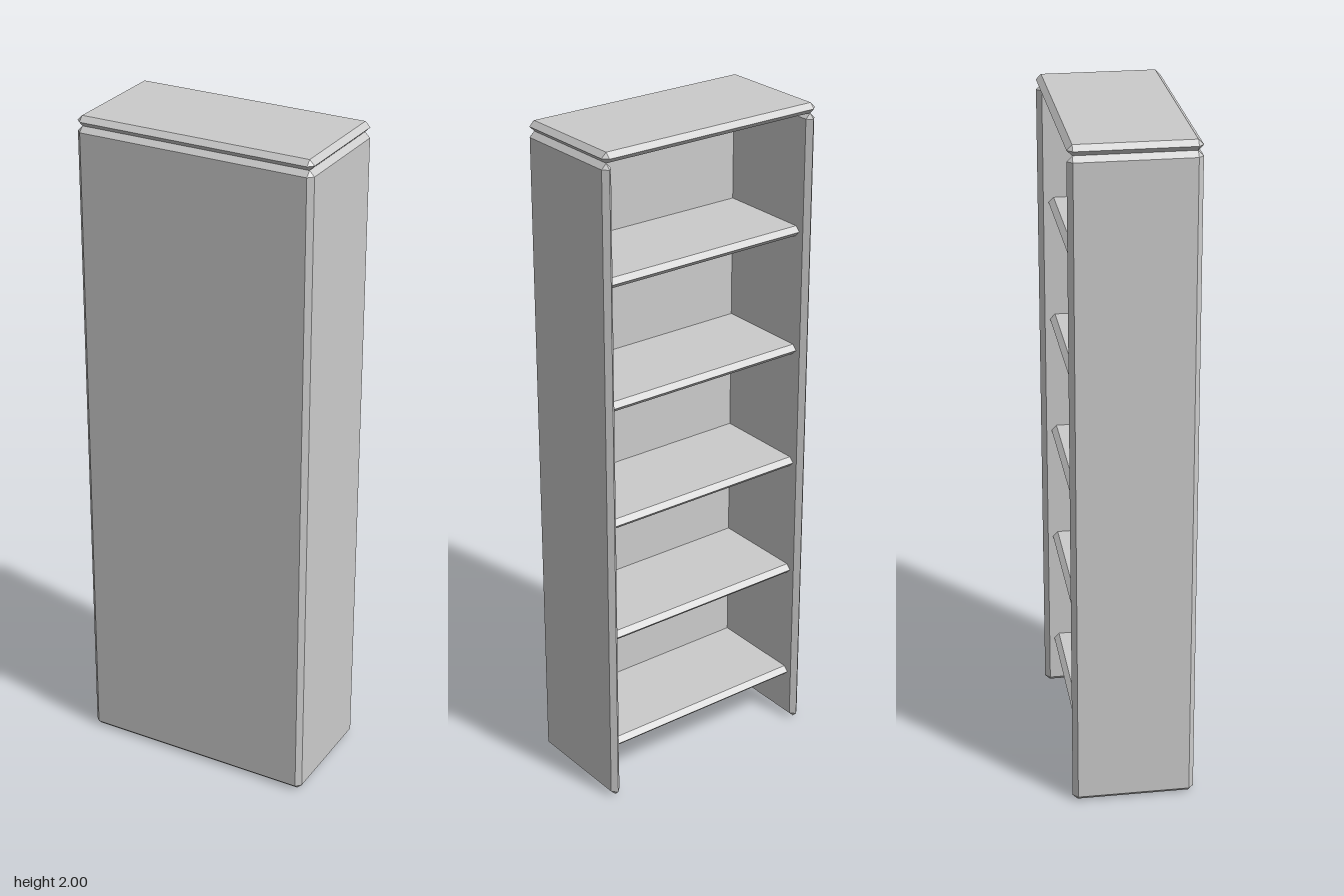
import * as THREE from 'three';
import { ConvexGeometry } from 'three/addons/geometries/ConvexGeometry.js';

const T = 0.03;      // board thickness
const BEVEL = 0.015; // chamfer on every board edge
const W = 0.72, D = 0.36, H = 2;

// Box with chamfered edges: each face is inset by the bevel, and the hull closes the chamfers.
function chamferedBox(w, h, d) {
  const half = [w / 2, h / 2, d / 2];
  const points = new Map();
  for (let axis = 0; axis < 3; axis++) {
    for (const sx of [-1, 1]) for (const sy of [-1, 1]) for (const sz of [-1, 1]) {
      const p = [sx, sy, sz].map((s, i) => {
        const v = s * (i === axis ? half[i] : half[i] - BEVEL);
        return Math.abs(v) < 1e-6 ? 0 : v;
      });
      points.set(p.map((v) => v.toFixed(4)).join(), new THREE.Vector3(...p));
    }
  }
  return new ConvexGeometry([...points.values()]);
}

export function createModel() {
  const group = new THREE.Group();
  group.name = 'bookcase';
  const material = new THREE.MeshStandardMaterial({ color: 0xcccccc, flatShading: true });

  const board = (name, w, h, d, x, y, z) => {
    const mesh = new THREE.Mesh(chamferedBox(w, h, d), material);
    mesh.name = name;
    mesh.position.set(x, y, z);
    group.add(mesh);
  };

  // Top board, resting on the panels
  board('topBoard', W, T, D, 0, H - T / 2, 0);

  // Side panels and the closed front panel
  const panelH = H - T;
  for (const [name, s] of [['leftPanel', 1], ['rightPanel', -1]]) {
    board(name, T, panelH, D, s * (W - T) / 2, panelH / 2, 0);
  }
  board('frontPanel', W, panelH, T, 0, panelH / 2, (D - T) / 2);

  // Shelves, evenly spaced below the top, set in from the open back and let into the panels
  const shelfBack = -0.15, shelfFront = D / 2 - T / 2;
  for (let i = 1; i <= 5; i++) {
    board('shelf' + i, W - T, T, shelfFront - shelfBack,
      0, H - T / 2 - 0.365 * i, (shelfFront + shelfBack) / 2);
  }
  return group;
}
